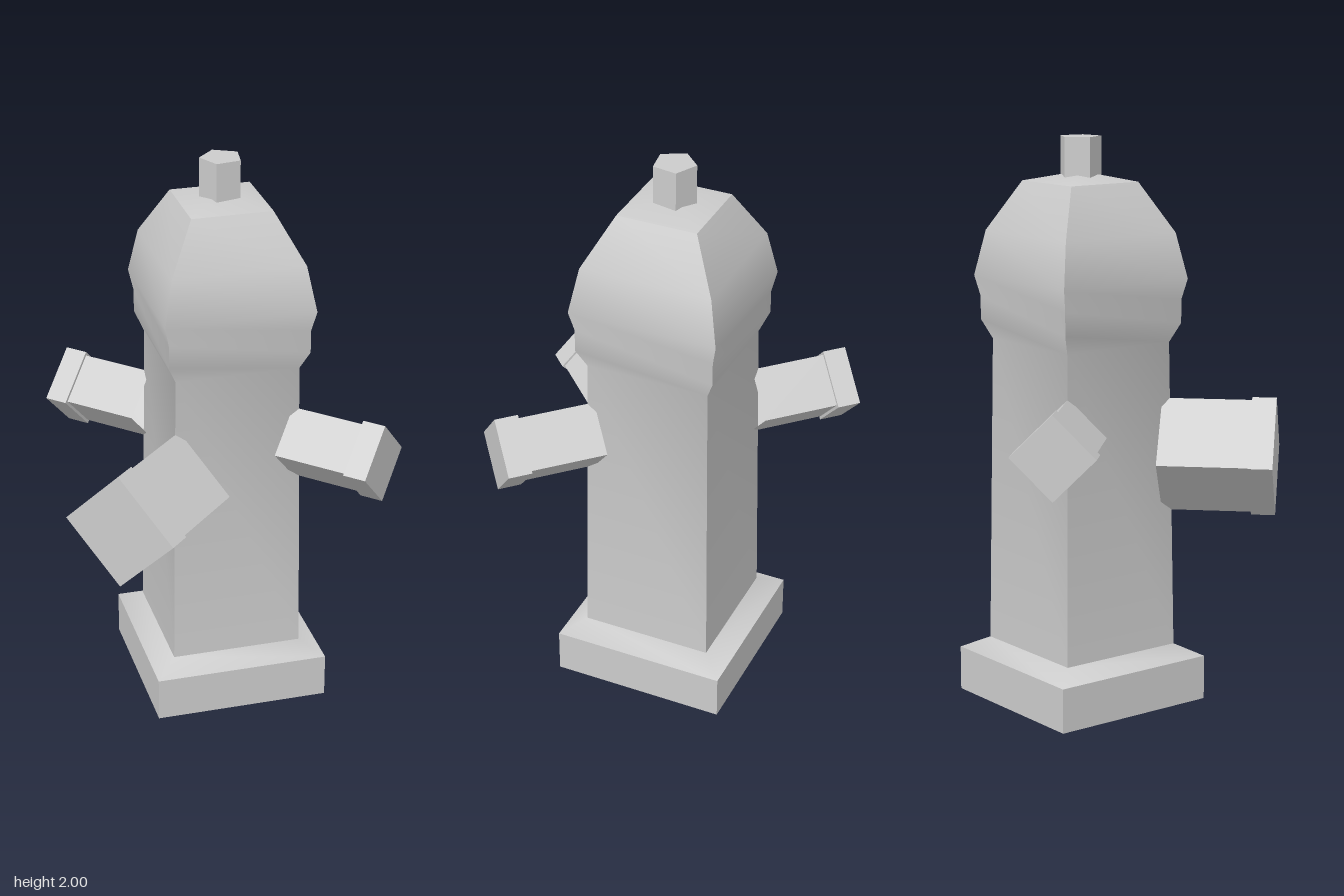
import * as THREE from 'three';
import { toCreasedNormals } from 'three/addons/utils/BufferGeometryUtils.js';

const paint = new THREE.MeshStandardMaterial({ color: 0xcccccc, side: THREE.DoubleSide });
paint.name = 'greyPaint';

// Turned low-poly part: profile of [radius, height], smooth along gentle bends, sharp at corners
function turned(name, profile, sides, phiStart = 0) {
  const points = profile.map(([r, y]) => new THREE.Vector2(r, y));
  const geometry = toCreasedNormals(new THREE.LatheGeometry(points, sides, phiStart), THREE.MathUtils.degToRad(40));
  const mesh = new THREE.Mesh(geometry, paint);
  mesh.name = name;
  return mesh;
}

// Square outlet standing on its corner, with a wider cap at the end
function outlet(name, radius, capRadius, start, step, end) {
  return turned(name, [
    [radius, start], [radius, step], [capRadius, step], [capRadius, end], [0, end],
  ], 4);
}

export function createModel() {
  const hydrant = new THREE.Group();
  hydrant.name = 'hydrant';
  const column = new THREE.Group();
  column.name = 'column';
  column.position.z = -0.123;
  hydrant.add(column);

  // Hollow base, tapered barrel, collar and bonnet
  column.add(turned('barrel', [
    [0.442, 0], [0.442, 0.158], [0.332, 0.2], [0.311, 1.29], [0.353, 1.358],
    [0.353, 1.44], [0.375, 1.513], [0.332, 1.672], [0.202, 1.845], [0, 1.88],
  ], 4));

  // Five-sided operating nut
  column.add(turned('topNut', [[0.075, 1.86], [0.075, 2], [0, 2]], 5, Math.PI / 2));

  // Side outlets
  for (const side of [1, -1]) {
    const nozzle = outlet(side > 0 ? 'leftOutlet' : 'rightOutlet', 0.131, 0.145, 0.29, 0.56, 0.643);
    nozzle.position.y = 1.004;
    nozzle.rotation.z = -side * Math.PI / 2;
    column.add(nozzle);
  }

  // Large front outlet
  const front = outlet('frontOutlet', 0.2, 0.21, 0.288, 0.603, 0.688);
  front.position.y = 0.892;
  front.rotation.x = Math.PI / 2;
  column.add(front);

  return hydrant;
}
